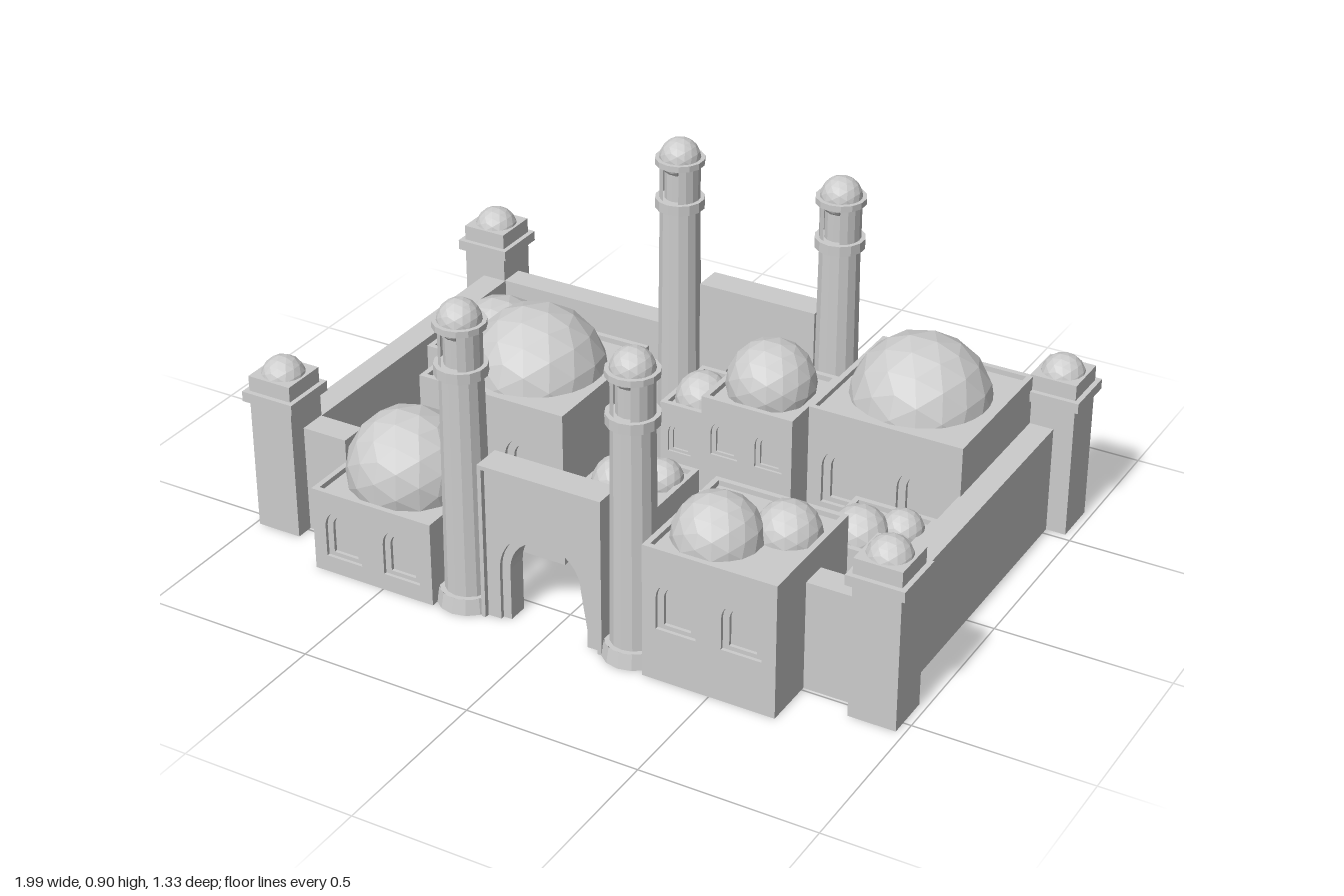
import * as THREE from 'three';

const mat = new THREE.MeshStandardMaterial({ color: 0xcccccc, flatShading: true, side: THREE.DoubleSide });

export function createModel() {
  const model = new THREE.Group();
  model.name = 'walledCourtyard';

  const add = (parent, name, geo, x = 0, y = 0, z = 0) => {
    const m = new THREE.Mesh(geo, mat);
    m.name = name;
    m.position.set(x, y, z);
    parent.add(m);
    return m;
  };
  const group = (name, x = 0, z = 0) => {
    const g = new THREE.Group();
    g.name = name;
    g.position.set(x, 0, z);
    model.add(g);
    return g;
  };
  // Box standing on the ground with no underside
  const shell = (w, h, d) => {
    const g = new THREE.BoxGeometry(w, h, d).translate(0, h / 2, 0);
    const idx = Array.from(g.index.array);
    idx.splice(18, 6);
    g.setIndex(idx);
    g.clearGroups();
    return g;
  };
  const rect = (P, w, y0, y1) => {
    const s = new P();
    s.moveTo(-w / 2, y0);
    s.lineTo(w / 2, y0);
    s.lineTo(w / 2, y1);
    s.lineTo(-w / 2, y1);
    s.closePath();
    return s;
  };
  // Round-headed outline, half width r, crown at y1
  const arch = (P, x, r, y0, y1) => {
    const s = new P();
    s.moveTo(x - r, y0);
    s.lineTo(x + r, y0);
    s.lineTo(x + r, y1 - r);
    s.absarc(x, y1 - r, r, 0, Math.PI, false);
    s.closePath();
    return s;
  };
  const extrude = (shape, depth) =>
    new THREE.ExtrudeGeometry(shape, { depth, bevelEnabled: false, curveSegments: 8 });
  const dome = (parent, r, x, y, z) => add(parent, 'dome', new THREE.IcosahedronGeometry(r, 2), x, y, z);

  // Flat-roofed house with parapet, recessed arched windows on two sides and domes
  function house(name, x0, x1, z0, z1, h, domes, winTop, winBottom) {
    const w = x1 - x0, d = z1 - z0, k = w / 0.385, t = 0.02 * k, lip = 0.015;
    const cx = (x0 + x1) / 2, cz = (z0 + z1) / 2;
    const g = group(name, cx, cz);
    const top = winTop ?? h - 0.089 * k, bottom = winBottom ?? h - 0.239 * k;
    add(g, 'houseBody', shell(w, h - lip, d - 2 * t));
    for (const side of [0, 1]) {
      const face = new THREE.Group();
      face.name = side ? 'backFace' : 'frontFace';
      face.rotation.y = side * Math.PI;
      g.add(face);
      const wall = rect(THREE.Shape, w, 0, h - lip);
      for (const s of [-1, 1]) {
        const wx = s * 0.245 * w, r = 0.058 * k;
        wall.holes.push(arch(THREE.Path, wx, r, bottom, top));
        const ring = arch(THREE.Shape, wx, r, bottom, top);
        ring.holes.push(arch(THREE.Path, wx, r * 0.68, bottom + 0.012 * k, top - 0.018 * k));
        add(face, 'windowFrame', extrude(ring, t * 0.5), 0, 0, d / 2 - t);
      }
      add(face, 'windowWall', extrude(wall, t), 0, 0, d / 2 - t);
    }
    const rim = rect(THREE.Shape, w, -d / 2, d / 2);
    rim.holes.push(rect(THREE.Path, w - 0.032, -d / 2 + 0.016, d / 2 - 0.016));
    add(g, 'parapet', extrude(rim, lip).rotateX(-Math.PI / 2), 0, h - lip, 0);
    for (const [x, y, z, r] of domes) dome(g, r, x - cx, y, z - cz);
  }
  house('frontRightHouse', -0.72, -0.34, 0.26, 0.645, 0.25, [[-0.53, 0.27, 0.45, 0.176]], 0.2, 0.05);
  house('frontLeftHouse', 0.305, 0.69, 0.26, 0.645, 0.395,
    [[0.44, 0.38, 0.495, 0.123], [0.585, 0.378, 0.388, 0.09]]);
  house('centralHall', -0.595, -0.14, -0.155, 0.3, 0.465, [[-0.37, 0.42, 0.06, 0.2]]);
  house('backRightHouse', -0.825, -0.515, -0.385, -0.07, 0.32, [[-0.675, 0.295, -0.23, 0.142]]);
  house('backLeftHall', 0.395, 0.85, -0.53, -0.075, 0.465, [[0.615, 0.42, -0.315, 0.2]]);
  house('middleHouse', 0.125, 0.4, -0.26, 0.02, 0.465, [[0.26, 0.475, -0.125, 0.125]]);
  // Three small twin-domed houses
  for (const [x, z] of [[-0.022, -0.347], [0.012, 0.168], [0.685, 0.078]])
    house('smallHouse', x - 0.122, x + 0.122, z - 0.122, z + 0.122, 0.253,
      [[x - 0.035, 0.245, z + 0.03, 0.08], [x + 0.055, 0.245, z - 0.04, 0.06]]);

  // Square corner towers
  for (const x of [-0.92, 0.91]) for (const z of [-0.59, 0.475]) {
    const g = group('cornerTower', x, z);
    add(g, 'towerBody', shell(0.135, 0.47, 0.135));
    add(g, 'towerCornice', new THREE.BoxGeometry(0.164, 0.03, 0.164), 0, 0.41, 0);
    dome(g, 0.063, 0, 0.455, 0);
  }

  // Enclosing walls
  const wall = (name, x0, x1, z0, z1) =>
    add(model, name, shell(x1 - x0, 0.32, z1 - z0), (x0 + x1) / 2, 0, (z0 + z1) / 2);
  wall('rightWall', -0.925, -0.85, -0.53, 0.41);
  wall('leftWall', 0.845, 0.92, -0.53, 0.41);
  wall('backWallRight', -0.86, -0.27, -0.6, -0.525);
  wall('backWallLeft', 0.23, 0.85, -0.6, -0.525);
  wall('frontWallRight', -0.86, -0.715, 0.41, 0.49);
  wall('frontWallLeft', 0.685, 0.85, 0.41, 0.49);

  // Arched gates, front and back
  for (const s of [1, -1]) {
    const g = group(s > 0 ? 'frontGate' : 'backGate', -0.015, s > 0 ? 0.535 : -0.55);
    if (s < 0) g.rotation.y = Math.PI;
    const plate = new THREE.Shape();
    plate.moveTo(-0.185, 0);
    plate.lineTo(-0.133, 0);
    plate.lineTo(-0.133, 0.157);
    plate.absarc(0, 0.157, 0.133, Math.PI, 0, true);
    plate.lineTo(0.133, 0);
    plate.lineTo(0.185, 0);
    plate.lineTo(0.185, 0.465);
    plate.lineTo(-0.185, 0.465);
    plate.closePath();
    add(g, 'gateWall', extrude(plate, 0.072));
    const ring = new THREE.Shape();
    ring.moveTo(-0.133, 0);
    ring.lineTo(-0.108, 0);
    ring.lineTo(-0.108, 0.157);
    ring.absarc(0, 0.157, 0.108, Math.PI, 0, true);
    ring.lineTo(0.133, 0);
    ring.lineTo(0.133, 0.157);
    ring.absarc(0, 0.157, 0.133, 0, Math.PI, false);
    ring.closePath();
    add(g, 'gateArch', extrude(ring, 0.06));
    add(g, 'gateLintel', new THREE.BoxGeometry(0.37, 0.012, 0.016), 0, 0.459, 0.079);
    for (const x of [-0.179, 0.179])
      add(g, 'gateBorder', new THREE.BoxGeometry(0.012, 0.453, 0.016), x, 0.2265, 0.079);
  }

  // Round minarets beside each gate
  const cyl = (rt, rb, h, open = false) => new THREE.CylinderGeometry(rt, rb, h, 14, 1, open);
  for (const x of [-0.275, 0.235]) for (const z of [-0.565, 0.565]) {
    const g = group('minaret', x, z);
    add(g, 'minaretBase', cyl(0.08, 0.088, 0.045, true), 0, 0.0225, 0);
    add(g, 'baseTop', new THREE.RingGeometry(0.06, 0.08, 14).rotateX(-Math.PI / 2), 0, 0.045, 0);
    add(g, 'minaretShaft', cyl(0.059, 0.066, 0.69, true), 0, 0.345, 0);
    add(g, 'balcony', cyl(0.072, 0.072, 0.03), 0, 0.705, 0);
    add(g, 'lanternCore', cyl(0.045, 0.045, 0.11), 0, 0.773, 0);
    for (const a of [0, Math.PI])
      add(g, 'lanternWall', new THREE.CylinderGeometry(0.059, 0.059, 0.11, 6, 1, true, a + 0.43, Math.PI - 0.86), 0, 0.773, 0);
    add(g, 'lanternCornice', cyl(0.072, 0.072, 0.018), 0, 0.834, 0);
    dome(g, 0.06, 0, 0.841, 0);
  }
  return model;
}
